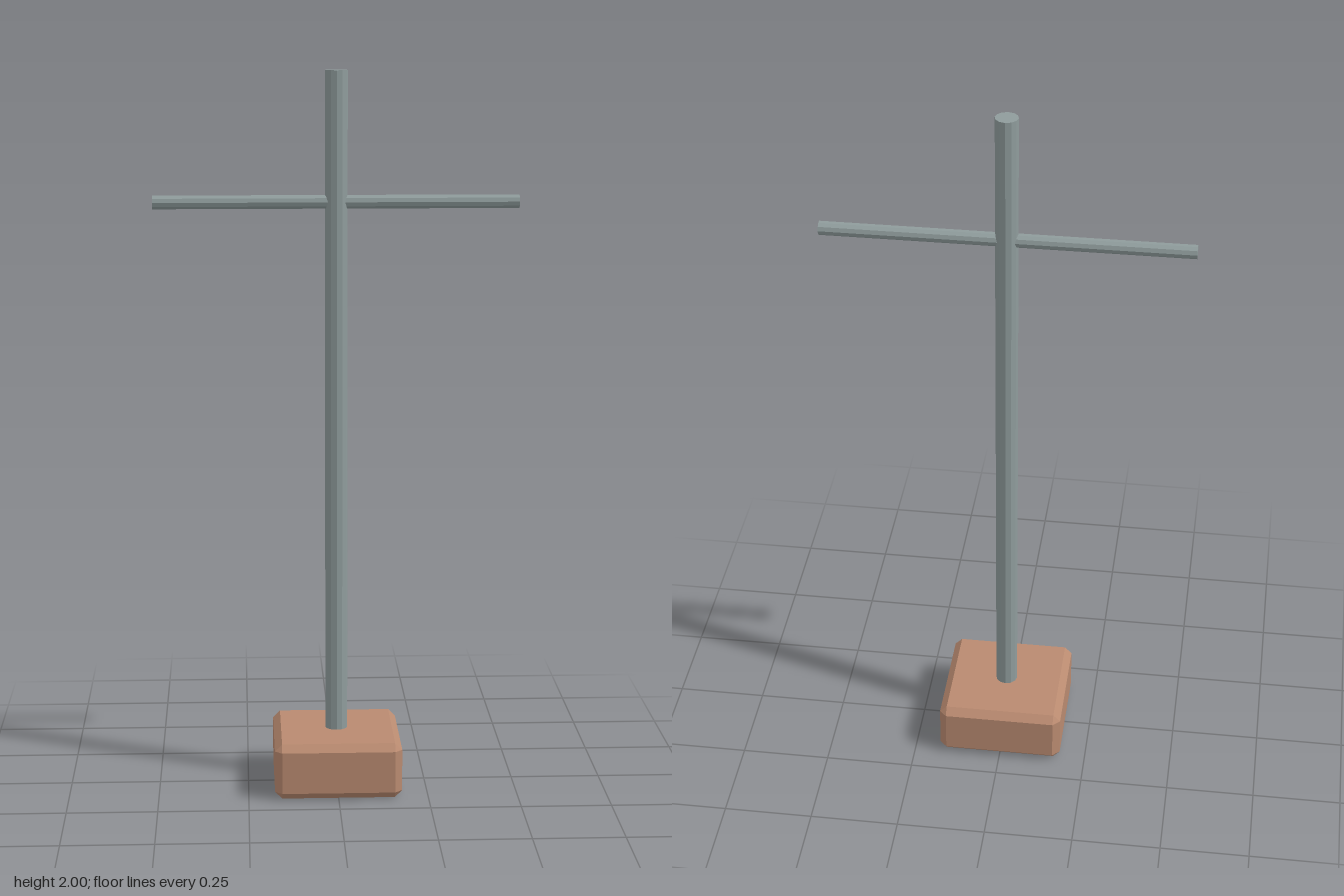
import * as THREE from 'three';
import { ConvexGeometry } from 'three/addons/geometries/ConvexGeometry.js';

const steel = new THREE.MeshStandardMaterial({ color: 0x8f9c9c, flatShading: true });
const clay = new THREE.MeshStandardMaterial({ color: 0xb98a70, flatShading: true });

// Box with every edge chamfered by c: each corner becomes a small triangle
function chamferedBox(w, h, d, c) {
  const points = [];
  for (const sx of [-1, 1]) for (const sy of [-1, 1]) for (const sz of [-1, 1]) {
    for (let axis = 0; axis < 3; axis++) {
      const inset = [c, c, c];
      inset[axis] = 0;
      points.push(new THREE.Vector3(
        sx * (w / 2 - inset[0]), sy * (h / 2 - inset[1]), sz * (d / 2 - inset[2])));
    }
  }
  return new ConvexGeometry(points);
}

export function createModel() {
  const group = new THREE.Group();
  const add = (name, geometry, material, y) => {
    const mesh = new THREE.Mesh(geometry, material);
    mesh.name = name;
    mesh.position.y = y;
    group.add(mesh);
  };

  // Heavy chamfered foot
  const baseHeight = 0.157;
  add('base', chamferedBox(0.354, baseHeight, 0.354, 0.02), clay, baseHeight / 2);

  // Upright pole, set slightly into the base
  const poleBottom = 0.14;
  add('pole', new THREE.CylinderGeometry(0.031, 0.031, 2 - poleBottom, 12), steel, (2 + poleBottom) / 2);

  // Horizontal bar through the pole
  add('crossbar', new THREE.CylinderGeometry(0.019, 0.019, 1, 10).rotateZ(Math.PI / 2), steel, 1.645);

  return group;
}
